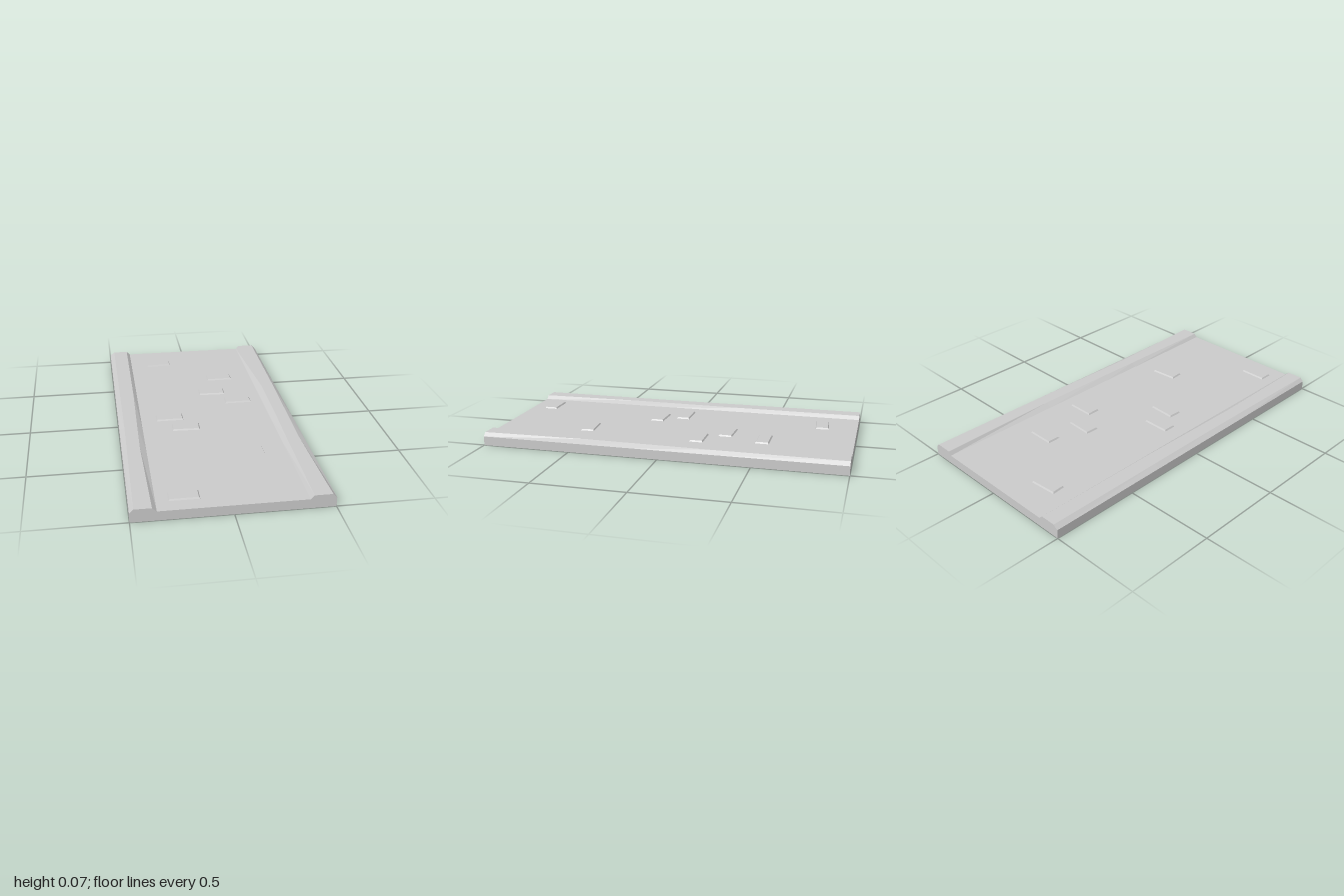
import * as THREE from 'three';

const FLOOR = 0.05, CURB = 0.07;

// Stations along the slab: z, then curb-top edges: left-hand outer/inner, right-hand inner/outer
const STATIONS = [
  [-1, -0.475, -0.39, 0.385, 0.48],
  [-0.3, -0.473, -0.392, 0.404, 0.476],
  [0.15, -0.472, -0.4, 0.4, 0.468],
  [0.4, -0.474, -0.404, 0.395, 0.464],
  [1, -0.48, -0.392, 0.388, 0.48],
];

// Tread plates: x, z, yaw
const PLATES = [
  [-0.195, -0.8, 0.08], [0.167, -0.515, 0], [0.087, -0.3, -0.04], [0.225, -0.163, 0],
  [-0.206, 0.02, 0], [-0.127, 0.155, -0.04], [0.172, 0.49, 0.08], [-0.23, 0.88, 0],
];

// Cross-section from the -x foot over the top to the +x foot
function profile([, a, b, c, d]) {
  return [[-0.5, 0], [-0.5, FLOOR], [a, CURB], [b, CURB], [-0.37, FLOOR],
    [0.37, FLOOR], [c, CURB], [d, CURB], [0.5, FLOOR], [0.5, 0]];
}

// Open-bottomed skin joining the cross-sections
function skinGeometry() {
  const pos = [];
  for (let s = 0; s < STATIONS.length - 1; s++) {
    const [p, q] = [STATIONS[s], STATIONS[s + 1]];
    const [P, Q] = [profile(p), profile(q)];
    for (let i = 0; i < P.length - 1; i++) {
      const a = [...P[i], p[0]], b = [...P[i + 1], p[0]];
      const c = [...Q[i + 1], q[0]], d = [...Q[i], q[0]];
      pos.push(...a, ...d, ...c, ...a, ...c, ...b);
    }
  }
  const geo = new THREE.BufferGeometry();
  geo.setAttribute('position', new THREE.Float32BufferAttribute(pos, 3));
  geo.computeVertexNormals();
  return geo;
}

// Flat end wall, facing outwards
function endGeometry(station, back) {
  const sx = back ? -1 : 1;
  const shape = new THREE.Shape(profile(station).map(([x, y]) => new THREE.Vector2(x * sx, y)));
  const geo = new THREE.ShapeGeometry(shape).translate(0, 0, 1);
  return back ? geo.rotateY(Math.PI) : geo;
}

// Low plate with sloped sides and no underside
function plateGeometry() {
  const geo = new THREE.BoxGeometry(0.154, 0.008, 0.076);
  const p = geo.attributes.position;
  for (let i = 0; i < p.count; i++) {
    if (p.getY(i) > 0) p.setXYZ(i, p.getX(i) * 0.93, p.getY(i), p.getZ(i) * 0.86);
  }
  const index = Array.from(geo.index.array);
  index.splice(18, 6);
  geo.setIndex(index);
  geo.clearGroups();
  geo.computeVertexNormals();
  return geo.translate(0, 0.004, 0);
}

export function createModel() {
  const group = new THREE.Group();
  const material = new THREE.MeshStandardMaterial({
    color: 0xcccccc, flatShading: true, side: THREE.DoubleSide,
  });
  const add = (geo, name) => {
    const mesh = new THREE.Mesh(geo, material);
    mesh.name = name;
    group.add(mesh);
    return mesh;
  };

  add(skinGeometry(), 'slabWithCurbs');
  add(endGeometry(STATIONS[STATIONS.length - 1], false), 'frontEnd');
  add(endGeometry(STATIONS[0], true), 'backEnd');

  const plate = plateGeometry();
  PLATES.forEach(([x, z, yaw], i) => {
    const mesh = add(plate, `raisedStone${i + 1}`);
    mesh.position.set(x, FLOOR, z);
    mesh.rotation.y = yaw;
  });
  return group;
}
